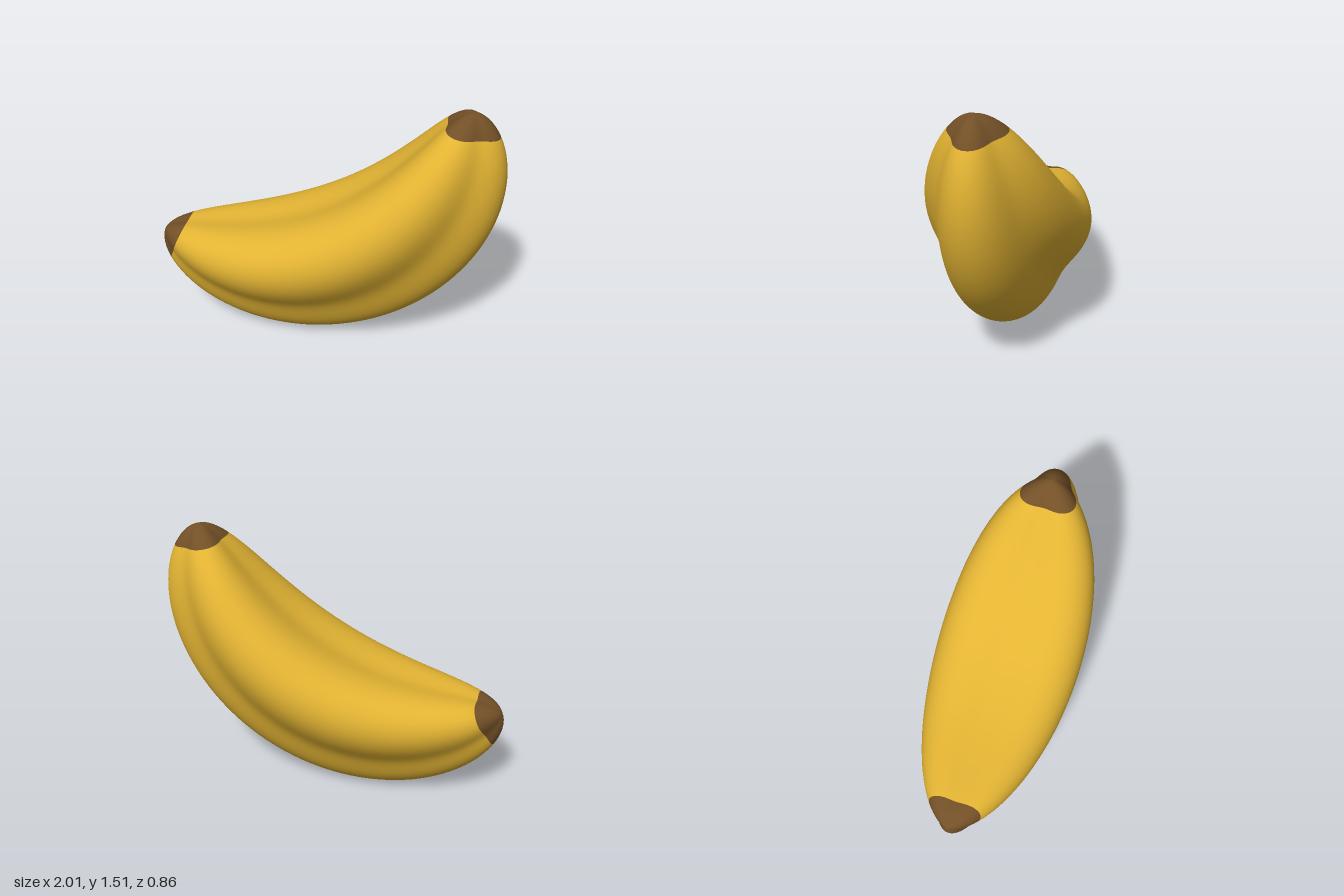
import * as THREE from 'three';

// The spine is a circular arc; angles run from the blossom end to the stem end
const CENTRE_X = -0.409;
const CENTRE_Y = 1.626;
const SPINE_RADIUS = 1.204;
const MID_ANGLE = THREE.MathUtils.degToRad(-62.2);
const HALF_SPAN = THREE.MathUtils.degToRad(57);

const THICKNESS = 0.397; // section radius at the middle
const TAPER = 0.57; // how pointed the ends are
const LOBE = 0.17; // depth of the three rounded ridges
const RINGS = 96;
const TIP_RINGS = 13; // rings belonging to each brown tip
const SIDES = 96;

function bananaGeometry() {
  const positions = [], index = [];

  // Three-lobed sections, one lobe along the outer curve; rings crowd towards the ends
  for (let i = 0; i <= RINGS; i++) {
    const s = Math.sin((i / RINGS - 0.5) * Math.PI);
    const angle = MID_ANGLE + HALF_SPAN * s;
    const size = THICKNESS * Math.pow(Math.max(1 - s * s, 1e-6), TAPER);
    for (let j = 0; j < SIDES; j++) {
      const t = (j / SIDES) * Math.PI * 2;
      const r = size * (1 + LOBE * Math.cos(3 * t));
      const reach = SPINE_RADIUS + r * Math.cos(t);
      positions.push(
        CENTRE_X + reach * Math.cos(angle),
        CENTRE_Y + reach * Math.sin(angle),
        r * Math.sin(t));
    }
  }
  for (let i = 0; i < RINGS; i++) {
    for (let j = 0; j < SIDES; j++) {
      const a = i * SIDES + j, b = i * SIDES + (j + 1) % SIDES;
      index.push(a, a + SIDES, b, b, a + SIDES, b + SIDES);
    }
  }

  const geometry = new THREE.BufferGeometry();
  geometry.setAttribute('position', new THREE.Float32BufferAttribute(positions, 3));
  geometry.setIndex(index);
  geometry.computeVertexNormals();

  // Brown tips at both ends, yellow peel between them
  const tip = TIP_RINGS * SIDES * 6;
  geometry.addGroup(0, tip, 1);
  geometry.addGroup(tip, index.length - 2 * tip, 0);
  geometry.addGroup(index.length - tip, tip, 1);
  return geometry;
}

export function createModel() {
  const peel = new THREE.MeshStandardMaterial({ color: 0xe3b433 });
  peel.name = 'yellowPeel';
  const tips = new THREE.MeshStandardMaterial({ color: 0x735027 });
  tips.name = 'brownTips';

  const group = new THREE.Group();
  group.name = 'banana';
  const fruit = new THREE.Mesh(bananaGeometry(), [peel, tips]);
  fruit.name = 'peelAndTips';
  group.add(fruit);
  return group;
}
